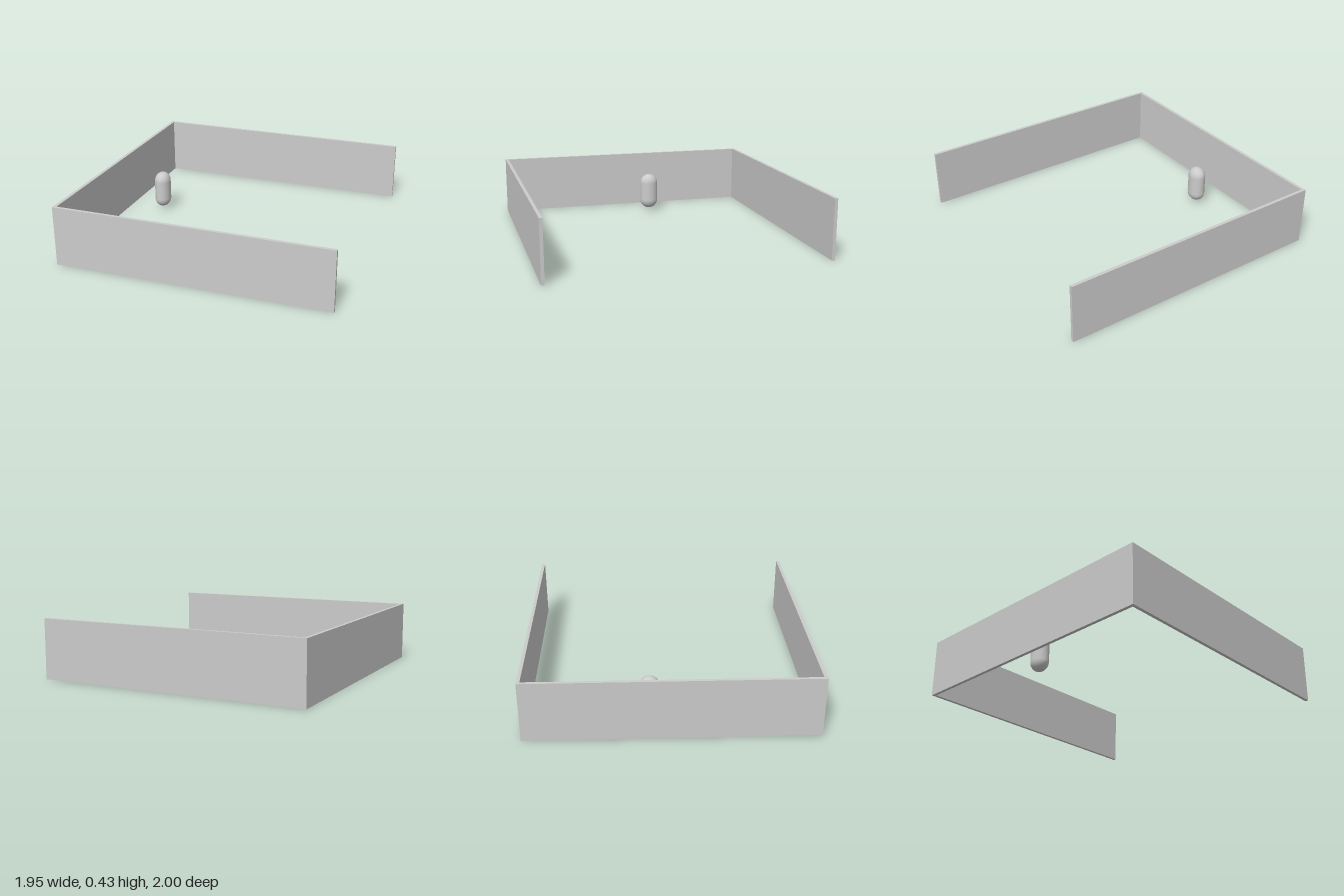
import * as THREE from 'three';

export function createModel() {
  const group = new THREE.Group();
  const material = new THREE.MeshStandardMaterial({ color: 0xcccccc });

  // Three-sided wall, its long arms leaning slightly toward the back; points are [x, z]
  const plan = [
    [-0.977, 1], [0.977, 0.981], [0.977, 0.958], [-0.954, 0.977],
    [-0.954, -0.961], [0.977, -0.977], [0.977, -1], [-0.977, -0.984],
  ];
  const outline = new THREE.Shape(plan.map(([x, z]) => new THREE.Vector2(x, -z)));
  const wallGeometry = new THREE.ExtrudeGeometry(outline, { depth: 0.43, bevelEnabled: false });
  wallGeometry.rotateX(-Math.PI / 2);
  const wall = new THREE.Mesh(wallGeometry, material);
  wall.name = 'enclosureWall';
  group.add(wall);

  // Floating capsule, slightly narrower in x
  const capsule = new THREE.Mesh(new THREE.CapsuleGeometry(0.07, 0.14, 12, 32), material);
  capsule.name = 'capsule';
  capsule.scale.x = 0.86;
  capsule.position.set(-0.69, 0.163, -0.137);
  group.add(capsule);

  return group;
}
